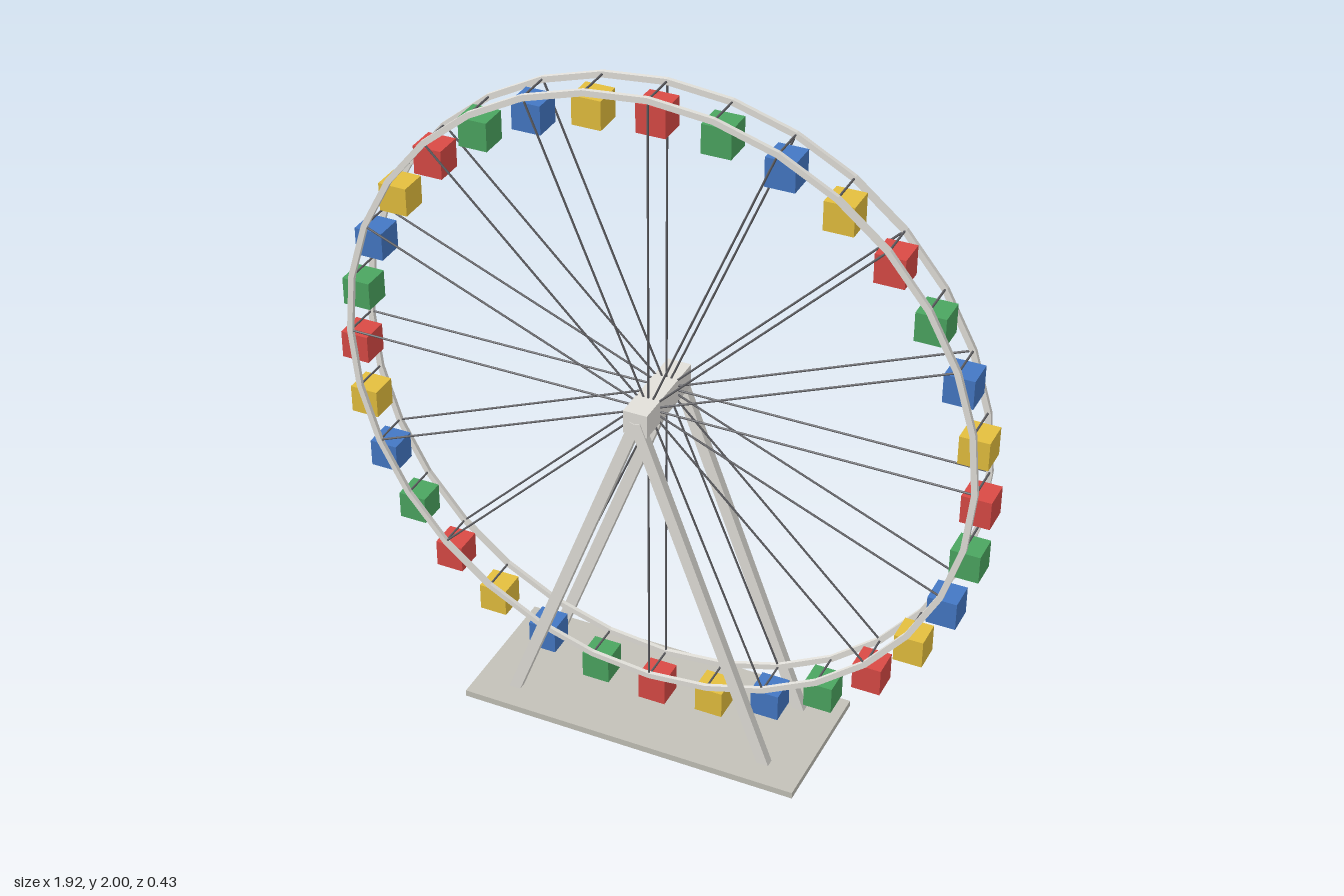
import * as THREE from 'three';

const mat = (name, color) => {
  const m = new THREE.MeshStandardMaterial({ color });
  m.name = name;
  return m;
};

export function createModel() {
  const steel = mat('light steel', 0xe2e0da);
  const rod = mat('dark rod', 0x5e5e62);
  const deck = mat('base grey', 0xc3c1b8);
  const paints = [
    mat('red', 0xd94a45), mat('green', 0x4ba560),
    mat('blue', 0x4478c4), mat('yellow', 0xe4bf3e),
  ];
  const root = new THREE.Group();
  root.name = 'ferrisWheel';

  const HUB = 1.072, R = 0.92, RIM_Z = 0.057, CARS = 32;

  const add = (name, geometry, material, x = 0, y = 0, z = 0, parent = root) => {
    const mesh = new THREE.Mesh(geometry, material);
    mesh.name = name;
    mesh.position.set(x, y, z);
    parent.add(mesh);
    return mesh;
  };

  // stretches a bar of the given section between two points
  const between = (name, a, b, makeGeometry, material, parent) => {
    const dir = b.clone().sub(a);
    const mid = a.clone().add(b).multiplyScalar(0.5);
    const mesh = add(name, makeGeometry(dir.length()), material, mid.x, mid.y, mid.z, parent);
    mesh.quaternion.setFromUnitVectors(new THREE.Vector3(0, 1, 0), dir.normalize());
  };
  const beam = (length) => new THREE.BoxGeometry(0.033, length, 0.026);
  const thinRod = (length) => new THREE.CylinderGeometry(0.003, 0.003, length, 24);

  // base plate, hub and the two A-frames
  add('basePlate', new THREE.BoxGeometry(1.03, 0.02, 0.434), deck, 0, 0.02, 0);
  add('hub', new THREE.BoxGeometry(0.07, 0.07, 0.28), steel, 0, HUB, 0);
  for (const z of [0.13, -0.13]) {
    for (const side of [1, -1]) {
      between('supportLeg', new THREE.Vector3(side * 0.402, 0.006, z),
        new THREE.Vector3(0, HUB, z), beam, steel, root);
    }
  }

  // wheel: two rims with spokes, joined by cross bars
  const wheel = new THREE.Group();
  wheel.name = 'wheel';
  wheel.position.y = HUB;
  root.add(wheel);
  const onCircle = (i, r, z) => {
    const a = (i / CARS) * Math.PI * 2;
    return new THREE.Vector3(Math.sin(a) * r, Math.cos(a) * r, z);
  };
  // counter-clockwise outline, so inner and outer walls both face outward
  const polygon = (r) => Array.from({ length: CARS }, (_, i) => {
    const p = onCircle(-i, r, 0);
    return new THREE.Vector2(p.x, p.y);
  });
  const ring = new THREE.Shape(polygon(R + 0.008));
  ring.holes.push(new THREE.Path(polygon(R - 0.009)));
  const rim = new THREE.ExtrudeGeometry(ring, { depth: 0.012, bevelEnabled: false });
  rim.translate(0, 0, -0.006);
  for (const z of [RIM_Z, -RIM_Z]) {
    add('rim', rim, steel, 0, 0, z, wheel);
    for (let i = 0; i < CARS; i += 2) {
      between('spoke', new THREE.Vector3(0, 0, z), onCircle(i, R, z), thinRod, rod, wheel);
    }
  }

  // cross bars, each carrying an upright cabin
  const cabin = new THREE.BoxGeometry(0.083, 0.083, 0.084);
  for (let i = 0; i < CARS; i++) {
    const p = onCircle(i, R, 0);
    between('crossBar', onCircle(i, R, -RIM_Z), onCircle(i, R, RIM_Z), thinRod, rod, wheel);
    add('cabin', cabin, paints[i % 4], p.x, p.y - 0.066, 0, wheel);
  }
  return root;
}
